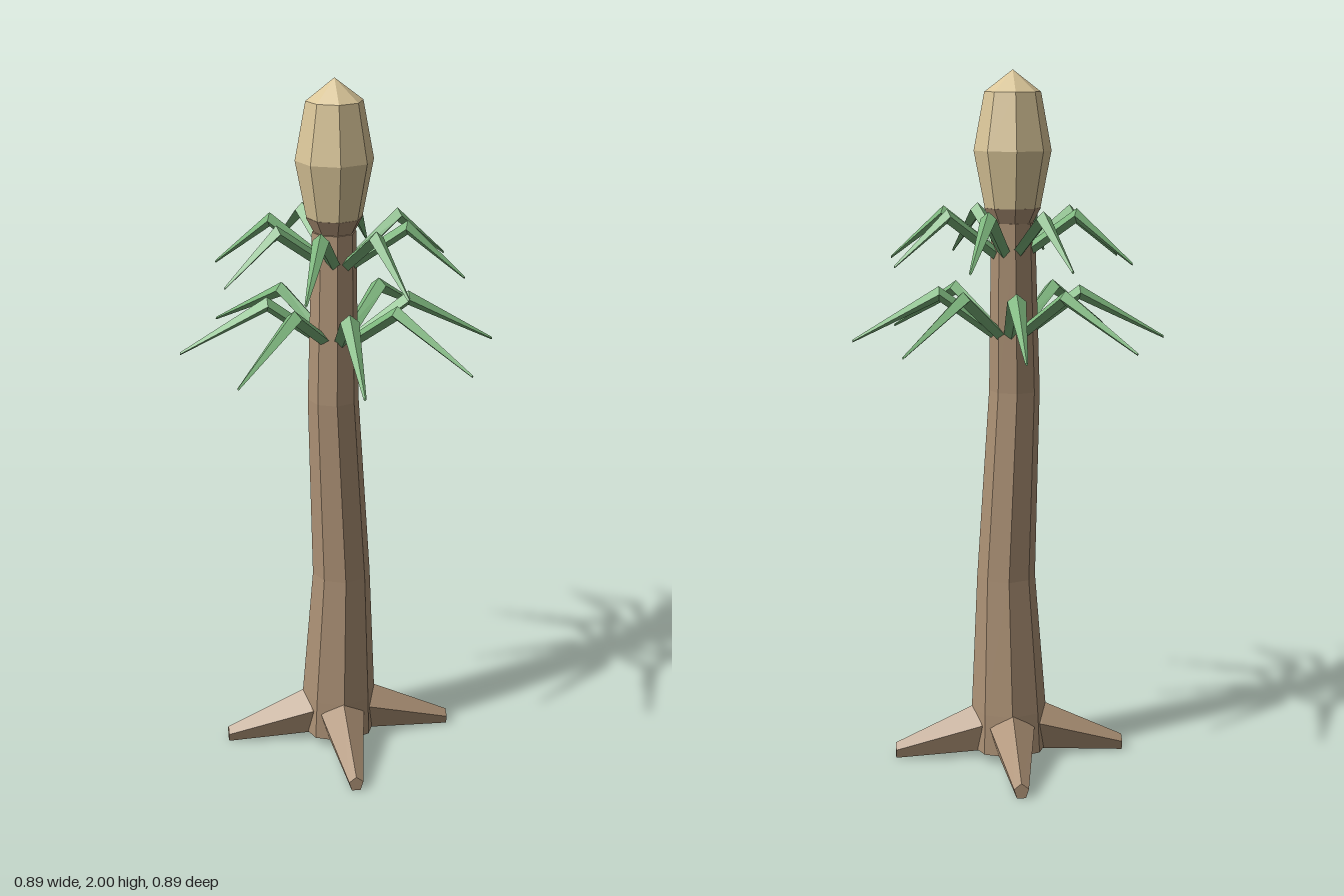
import * as THREE from 'three';

const mat = (name, color) => {
  const m = new THREE.MeshStandardMaterial({ color, flatShading: true });
  m.name = name;
  return m;
};

// Skin a list of equal-sized rings, closing both ends.
function loft(rings) {
  const pos = [];
  const tri = (...pts) => pts.forEach((p) => pos.push(...p));
  const n = rings[0].length;
  for (let i = 0; i < rings.length - 1; i++) {
    for (let j = 0; j < n; j++) {
      const k = (j + 1) % n;
      const [a, b, c, d] = [rings[i][j], rings[i][k], rings[i + 1][k], rings[i + 1][j]];
      tri(a, b, c);
      tri(a, c, d);
    }
  }
  const first = rings[0], last = rings[rings.length - 1];
  for (let j = 1; j < n - 1; j++) {
    tri(first[0], first[j + 1], first[j]);
    tri(last[0], last[j], last[j + 1]);
  }
  const g = new THREE.BufferGeometry();
  g.setAttribute('position', new THREE.Float32BufferAttribute(pos, 3));
  g.computeVertexNormals();
  return g;
}

// Horizontal octagon with a corner on each axis.
const level = ([x, y, z, r]) => Array.from({ length: 8 }, (_, i) => {
  const a = (i * Math.PI) / 4;
  return [x + r * Math.sin(a), y, z + r * Math.cos(a)];
});

// Upright section of a limb that runs along +x, with a corner on top.
const section = (sides) => ([x, y, halfWidth, halfHeight]) => Array.from({ length: sides }, (_, i) => {
  const a = (i * 2 * Math.PI) / sides;
  return [x, y + halfHeight * Math.cos(a), halfWidth * Math.sin(a)];
});

export function createModel() {
  const model = new THREE.Group();
  const bark = mat('bark', 0xac9175);
  const bud = mat('bud', 0xdac699);
  const leafGreen = mat('leaf green', 0x7cb57c);

  const add = (name, geometry, material, parent = model) => {
    const mesh = new THREE.Mesh(geometry, material);
    mesh.name = name;
    parent.add(mesh);
    return mesh;
  };

  // Slightly bent, tapering trunk: x, y, z, radius
  add('trunk', loft([
    [0, 0.03, 0, 0.115],
    [0.002, 0.15, 0, 0.11],
    [0.012, 0.55, 0, 0.085],
    [-0.001, 1.1, 0.022, 0.073],
    [-0.012, 1.58, 0.002, 0.062],
  ].map(level)), bark);

  // Flared collar below the bud
  add('collar', loft([[-0.012, 1.575, 0, 0.055], [-0.012, 1.622, 0, 0.08]].map(level)), bark);

  // Pointed bud
  add('bud', loft([
    [-0.012, 1.62, 0, 0.078],
    [-0.012, 1.78, 0, 0.109],
    [-0.012, 1.94, 0, 0.079],
    [-0.012, 2.0, 0, 0.0005],
  ].map(level)), bud);

  // Four spreading roots on the diagonals: along, height, half width, half height
  const roots = new THREE.Group();
  roots.name = 'roots';
  model.add(roots);
  const rootShape = loft([
    [0.03, 0.09, 0.07, 0.075],
    [0.09, 0.088, 0.068, 0.075],
    [0.338, 0.022, 0.022, 0.024],
  ].map(section(5)));
  for (let i = 0; i < 4; i++) {
    add('root', rootShape, bark, roots).rotation.y = Math.PI / 4 + (i * Math.PI) / 2;
  }

  // Two whorls of eight bent leaves
  const whorl = (name, sections, turn) => {
    const group = new THREE.Group();
    group.name = name;
    model.add(group);
    const shape = loft(sections.map(section(4)));
    for (let i = 0; i < 8; i++) {
      add('leaf', shape, leafGreen, group).rotation.y = turn + (i * Math.PI) / 4;
    }
  };
  whorl('lowerLeaves', [
    [0.04, 1.265, 0.02, 0.02],
    [0.2, 1.382, 0.026, 0.021],
    [0.445, 1.25, 0.004, 0.004],
  ], 0);
  whorl('upperLeaves', [
    [0.03, 1.485, 0.018, 0.02],
    [0.195, 1.604, 0.023, 0.02],
    [0.355, 1.473, 0.004, 0.004],
  ], Math.PI / 8);

  return model;
}
